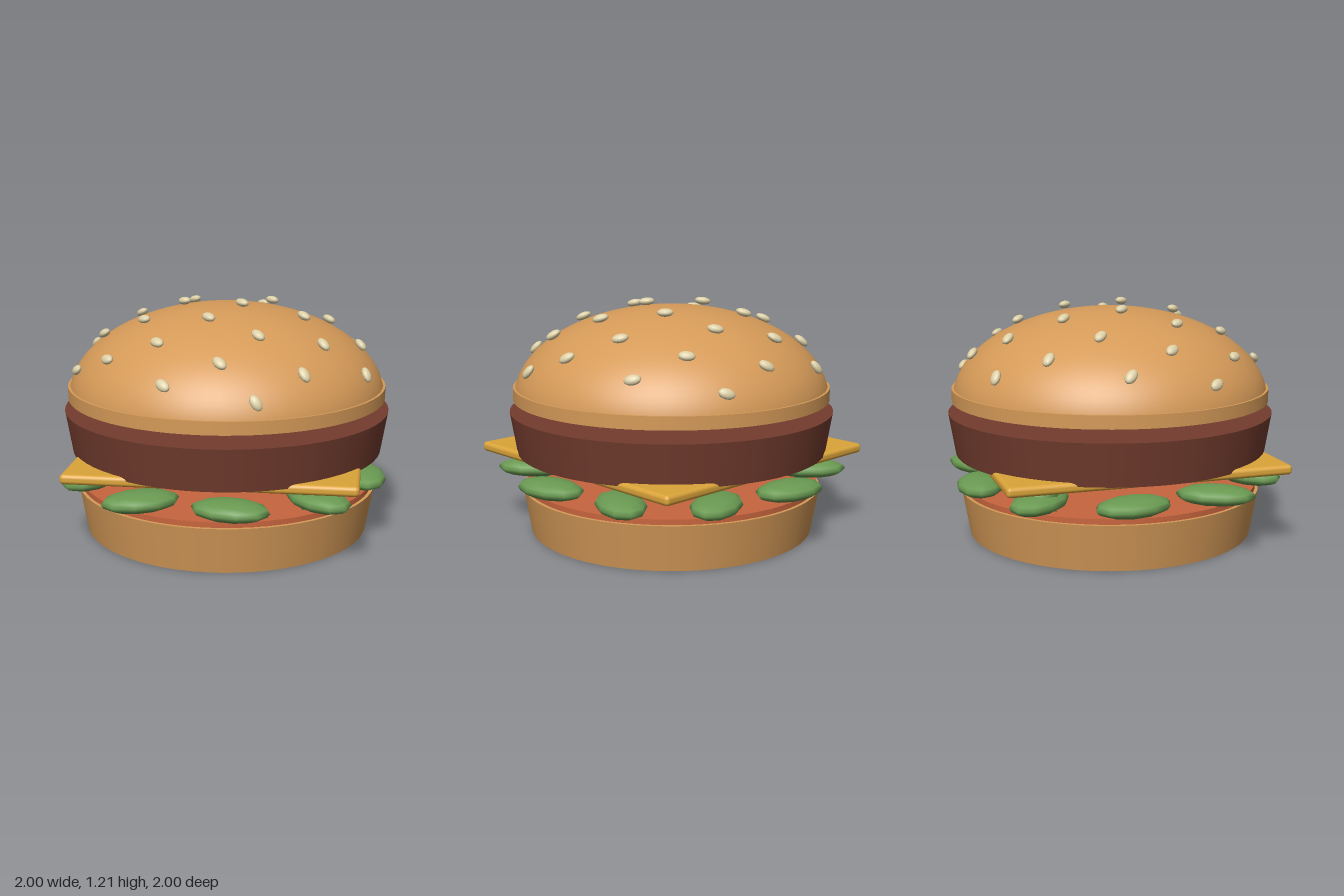
import * as THREE from 'three';
import { RoundedBoxGeometry } from 'three/addons/geometries/RoundedBoxGeometry.js';

const mat = (name, color, side = THREE.FrontSide) =>
  Object.assign(new THREE.MeshStandardMaterial({ color, side }), { name });

export function createModel() {
  const group = new THREE.Group();
  const bun = mat('toasted bun', 0xd59a58);
  const meat = mat('grilled meat', 0x733c2e);
  const cheese = mat('cheese yellow', 0xdba43a);
  const green = mat('leaf green', 0x6a9a52, THREE.DoubleSide);
  const red = mat('tomato red', 0xc8653e);
  const cream = mat('sesame cream', 0xdccfa6);

  const add = (name, geometry, material, x = 0, y = 0, z = 0) => {
    const mesh = new THREE.Mesh(geometry, material);
    mesh.name = name;
    mesh.position.set(x, y, z);
    group.add(mesh);
    return mesh;
  };
  // Disc between two heights
  const disc = (name, material, rTop, rBottom, y0, y1, x = 0, z = 0, sides = 64) =>
    add(name, new THREE.CylinderGeometry(rTop, rBottom, y1 - y0, sides), material, x, (y0 + y1) / 2, z);

  // Stacked layers
  disc('bottomBun', bun, 0.785, 0.745, 0, 0.235);
  disc('sauce', red, 0.768, 0.768, 0.235, 0.262);
  disc('patty', meat, 0.845, 0.81, 0.425, 0.64);
  disc('topBunRim', bun, 0.825, 0.825, 0.70, 0.765);

  // Tomato slices
  for (const [x, z] of [[-0.315, 0.045], [0.315, 0.045], [0, -0.045]])
    disc('tomatoSlice', red, 0.205, 0.205, 0.345, 0.41, x, z, 32);

  // Ring of lettuce leaves
  const leaf = new THREE.SphereGeometry(1, 10, 8);
  for (let i = 0; i < 10; i++) {
    const a = (i / 10) * Math.PI * 2;
    const mesh = add('lettuceLeaf', leaf, green, Math.cos(a) * 0.73, 0.31, Math.sin(a) * 0.73);
    mesh.scale.set(0.195, 0.049, 0.12);
    mesh.rotation.y = a;
  }

  // Lettuce curl arching up into the patty
  const arch = [[-0.735, 0.28], [-0.7, 0.36], [-0.6, 0.44], [-0.4, 0.51], [0, 0.53],
    [0.4, 0.51], [0.6, 0.44], [0.7, 0.36], [0.735, 0.28]];
  const curl = new THREE.CatmullRomCurve3(arch.map(([x, y]) => new THREE.Vector3(x, y, 0)));
  add('lettuceCurl', new THREE.TubeGeometry(curl, 32, 0.085, 10), green);

  // Square cheese slice turned corner-forward
  add('cheeseSlice', new RoundedBoxGeometry(1.428, 0.05, 1.428, 3, 0.02), cheese, 0, 0.419, 0)
    .rotation.y = Math.PI / 4;

  // Top bun dome
  const dome = add('topBunDome',
    new THREE.SphereGeometry(1, 64, 24, 0, Math.PI * 2, 0, Math.PI / 2), bun, 0, 0.7, 0);
  dome.scale.set(0.82, 0.475, 0.82);

  // Sesame seeds on a golden-angle spiral
  const seed = new THREE.SphereGeometry(1, 12, 8);
  const up = new THREE.Vector3(0, 1, 0);
  for (let i = 0; i < 30; i++) {
    const a = i * Math.PI * (3 - Math.sqrt(5));
    const c = 1 - (i + 0.5) * 0.0243;
    const s = Math.sqrt(1 - c * c);
    const mesh = add('sesameSeed', seed, cream, Math.cos(a) * s * 0.828, 0.7 + c * 0.5, Math.sin(a) * s * 0.828);
    const normal = new THREE.Vector3((Math.cos(a) * s) / 0.82, c / 0.475, (Math.sin(a) * s) / 0.82).normalize();
    mesh.quaternion.setFromUnitVectors(up, normal);
    mesh.scale.set(0.042, 0.02, 0.027);
  }
  return group;
}
